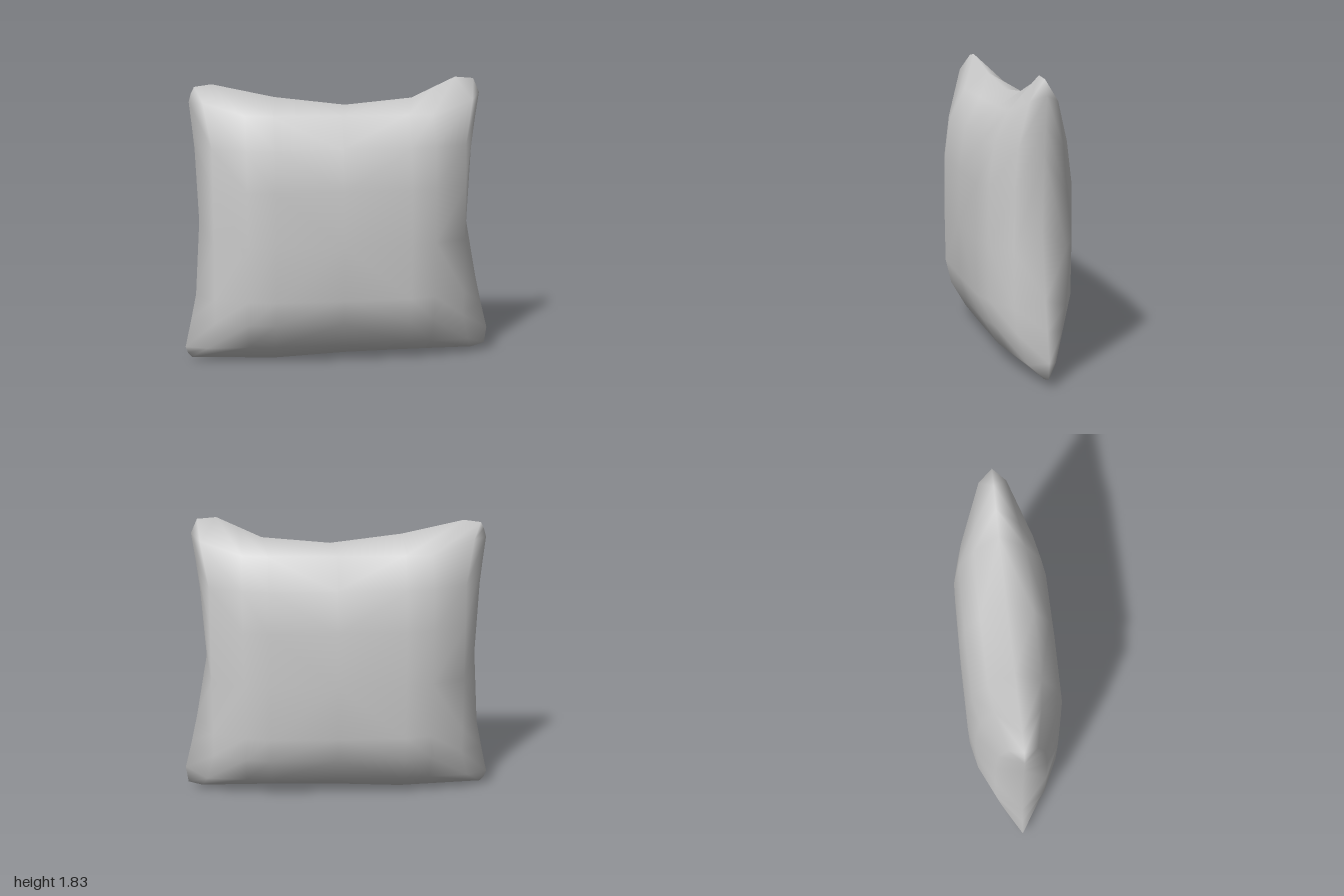
import * as THREE from 'three';

// Seam points along each side, between the blunt corners
const bottom = [[-0.96, 0.03], [-0.7, 0.018], [-0.42, 0.005], [0.04, 0.025], [0.5, 0.03], [0.7, 0.03], [0.89, 0.03]];
const top = [[-0.91, 1.785], [-0.8, 1.8], [-0.41, 1.715], [0.04, 1.66], [0.47, 1.7], [0.62, 1.77], [0.75, 1.83]];
const left = [[0.995, 0.16], [0.95, 0.34], [0.91, 0.52], [0.835, 0.93], [0.865, 1.38], [0.885, 1.55], [0.91, 1.73]];
const right = [[-1, 0.1], [-0.96, 0.28], [-0.925, 0.45], [-0.895, 0.93], [-0.915, 1.4], [-0.93, 1.55], [-0.945, 1.69]];
const corners = { '0,0': [-0.985, 0.06], '8,0': [0.98, 0.055], '0,8': [-0.93, 1.745], '8,8': [0.87, 1.82] };

// Grid lines inside the seam and the puff of the stuffing along them
const columns = [-0.81, -0.6, -0.43, 0, 0.43, 0.59, 0.8];
const rows = [0.12, 0.29, 0.45, 0.8, 1.15, 1.41, 1.61];
const puff = [0.53, 0.86, 0.985, 1, 0.985, 0.86, 0.53];
const DEPTH = 0.305;
const N = 9;

function gridPoint(i, j) {
  const corner = corners[`${i},${j}`];
  if (corner) return [...corner, 0];
  if (j === 0) return [...bottom[i - 1], 0];
  if (j === N - 1) return [...top[i - 1], 0];
  if (i === 0) return [...right[j - 1], 0];
  if (i === N - 1) return [...left[j - 1], 0];
  let x = columns[i - 1], y = rows[j - 1];
  // Pull the inner corners out towards the tips
  if ((i === 1 || i === 7) && (j === 1 || j === 7)) {
    x += 0.05 * Math.sign(x);
    y += j === 7 ? 0.08 : -0.01;
  }
  return [x, y, DEPTH * puff[i - 1] * puff[j - 1]];
}

function cushionGeometry() {
  const positions = [], indices = [], ids = [[], []];
  // Front and back share their seam vertices
  for (let s = 0; s < 2; s++) {
    for (let j = 0; j < N; j++) {
      for (let i = 0; i < N; i++) {
        const k = j * N + i;
        const onSeam = i === 0 || j === 0 || i === N - 1 || j === N - 1;
        if (s === 1 && onSeam) { ids[1][k] = ids[0][k]; continue; }
        const [x, y, z] = gridPoint(i, j);
        ids[s][k] = positions.length / 3;
        positions.push(x, y, s ? -z : z);
      }
    }
    for (let j = 0; j < N - 1; j++) {
      for (let i = 0; i < N - 1; i++) {
        const k = j * N + i;
        const [a, b, c, d] = [k, k + 1, k + N + 1, k + N].map((n) => ids[s][n]);
        // Run the diagonals towards the corners
        const rising = (i < 4) === (j < 4);
        const tris = rising ? [a, b, c, a, c, d] : [a, b, d, b, c, d];
        indices.push(...(s ? tris.reverse() : tris));
      }
    }
  }
  const geometry = new THREE.BufferGeometry();
  geometry.setAttribute('position', new THREE.Float32BufferAttribute(positions, 3));
  geometry.setIndex(indices);
  geometry.computeVertexNormals();
  return geometry;
}

export function createModel() {
  const group = new THREE.Group();
  group.name = 'pillow';
  const cushion = new THREE.Mesh(cushionGeometry(), new THREE.MeshStandardMaterial({ color: 0xcccccc }));
  cushion.name = 'cushion';
  group.add(cushion);
  return group;
}
